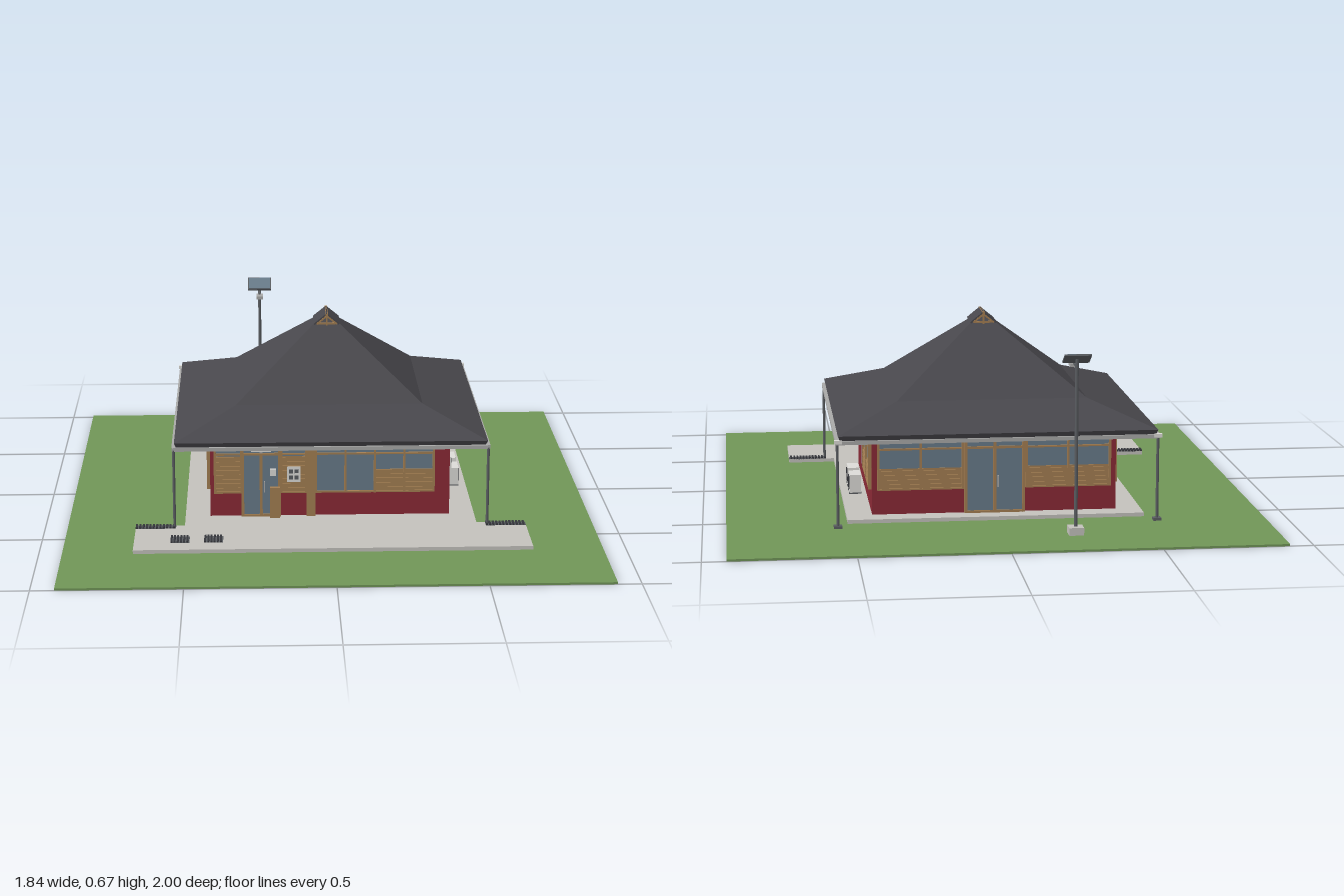
import * as THREE from 'three';

const mat = (name, color) => {
  const m = new THREE.MeshStandardMaterial({ color });
  m.name = name;
  return m;
};

export function createModel() {
  const root = new THREE.Group();
  root.name = 'pavilion';
  const grass = mat('grass green', 0x709557), paving = mat('paving grey', 0xc3c1bc);
  const roofMat = mat('roof slate', 0x48474c), red = mat('wall red', 0x8a2a36);
  const timber = mat('timber brown', 0xa37e52), glass = mat('glass blue grey', 0x687b89);
  const steel = mat('dark steel', 0x5a5d61), pale = mat('pale metal', 0xa9a9a8);
  const dark = mat('charcoal', 0x35363b), white = mat('white', 0xdcdbd7);

  // Box given by its min and max on each axis
  const box = (parent, name, m, x0, x1, y0, y1, z0, z1) => {
    const mesh = new THREE.Mesh(new THREE.BoxGeometry(x1 - x0, y1 - y0, z1 - z0), m);
    mesh.position.set((x0 + x1) / 2, (y0 + y1) / 2, (z0 + z1) / 2);
    mesh.name = name;
    parent.add(mesh);
    return mesh;
  };
  const post = (parent, name, m, x, z, y0, y1, r) => {
    const mesh = new THREE.Mesh(new THREE.CylinderGeometry(r, r, y1 - y0, 10), m);
    mesh.position.set(x, (y0 + y1) / 2, z);
    mesh.name = name;
    parent.add(mesh);
  };
  const group = (name, parent = root) => {
    const g = new THREE.Group();
    g.name = name;
    parent.add(g);
    return g;
  };

  // Ground and paving
  box(root, 'lawn', grass, -0.92, 0.92, 0, 0.007, -1, 1);
  box(root, 'frontTerrace', paving, -0.68, 0.68, 0.007, 0.02, 0.42, 0.675);
  box(root, 'houseSlab', paving, -0.51, 0.51, 0.007, 0.02, -0.57, 0.42);

  // Barred gratings
  const grating = (x0, x1, z0, z1, n) => {
    const g = group('grating'), step = (x1 - x0) / n;
    box(g, 'gratingTray', steel, x0, x1, 0.018, 0.021, z0, z1);
    for (let i = 0; i < n; i++)
      box(g, 'gratingBar', dark, x0 + i * step, x0 + (i + 0.6) * step, 0.02, 0.026, z0, z1);
  };
  grating(-0.68, -0.54, 0.42, 0.455, 12);
  grating(0.54, 0.68, 0.42, 0.455, 12);
  grating(-0.555, -0.49, 0.54, 0.605, 6);
  grating(-0.44, -0.375, 0.54, 0.605, 6);

  // Walls
  box(root, 'walls', red, -0.422, 0.422, 0.02, 0.31, -0.5, 0.32);

  // Each facade is drawn facing +z, then turned to its side
  const facade = (name, angle, x, z) => {
    const g = group(name);
    g.rotation.y = angle;
    g.position.set(x, 0, z);
    return g;
  };
  const SILL = 0.105, RAIL = 0.245, HEAD = 0.295;
  // Row of window bays; louvreTops gives each bay's louvre height (0 for none)
  const windows = (f, x0, x1, louvreTops) => {
    const w = (x1 - x0) / louvreTops.length;
    box(f, 'windowGlass', glass, x0, x1, SILL, HEAD, 0, 0.004);
    for (const y of [SILL, RAIL, HEAD - 0.005])
      box(f, 'windowRail', timber, x0, x1, y, y + 0.006, 0, 0.011);
    for (let i = 0; i <= louvreTops.length; i++)
      box(f, 'mullion', timber, x0 + i * w - 0.004, x0 + i * w + 0.004, SILL, HEAD, 0, 0.012);
    louvreTops.forEach((top, i) => {
      if (!top) return;
      const a = x0 + i * w, b = a + w;
      box(f, 'louvrePanel', timber, a, b, SILL, top, 0, 0.006);
      for (let y = SILL + 0.012; y < top; y += 0.016)
        box(f, 'louvreSlat', timber, a, b, y, y + 0.008, 0, 0.01);
    });
  };
  const door = (f, x0, x1) => {
    const mid = (x0 + x1) / 2;
    box(f, 'doorGlass', glass, x0, x1, 0.02, HEAD, 0, 0.007);
    for (const x of [x0, mid, x1])
      box(f, 'doorStile', timber, x - 0.005, x + 0.005, 0.02, HEAD, 0, 0.014);
    for (const y of [0.02, RAIL, HEAD - 0.005])
      box(f, 'doorRail', timber, x0, x1, y, y + 0.008, 0, 0.013);
    box(f, 'doorHandle', pale, mid + 0.01, mid + 0.014, 0.11, 0.15, 0.007, 0.016);
  };

  // Front: bay, entrance, sign panel, pillar, long window row
  const front = facade('frontFacade', 0, 0, 0.32);
  windows(front, -0.405, -0.312, [0.24]);
  door(front, -0.308, -0.178);
  windows(front, -0.172, -0.085, [0.24]);
  box(front, 'pillar', timber, -0.083, -0.052, 0.02, 0.298, 0, 0.016);
  windows(front, -0.05, 0.365, [0, 0, 0.185, 0.185]);
  box(front, 'noticeBoard', white, -0.152, -0.105, 0.147, 0.202, 0.01, 0.015);
  for (const x of [-0.145, -0.125])
    for (const y of [0.157, 0.18])
      box(front, 'noticeSheet', steel, x, x + 0.014, y, y + 0.014, 0.015, 0.017);
  box(front, 'entranceStand', timber, -0.212, -0.177, 0.02, 0.13, 0.012, 0.03);
  box(front, 'intercom', white, -0.212, -0.19, 0.17, 0.195, 0.008, 0.016);
  box(front, 'entranceLamp', white, -0.278, -0.208, 0.263, 0.275, 0.012, 0.03);
  box(front, 'lampBracket', pale, -0.248, -0.238, 0.255, 0.285, 0.006, 0.022);

  // Right side: window, conduits, meter
  const right = facade('airConditionerFacade', Math.PI / 2, 0.422, 0);
  windows(right, 0.13, 0.48, [0.18, 0.18]);
  for (const [x, y] of [[-0.17, 0.18], [0, 0.09], [0.115, 0.09]])
    post(right, 'conduit', pale, x, 0.004, y, 0.3, 0.003);
  box(right, 'meterBox', white, -0.188, -0.153, 0.145, 0.188, 0, 0.018);
  box(right, 'meterDial', steel, -0.177, -0.164, 0.163, 0.178, 0.018, 0.02);
  for (const x of [-0.01, 0.11]) {
    const ac = group('airConditioner', right);
    box(ac, 'casing', white, x, x + 0.08, 0.026, 0.09, 0.02, 0.06);
    box(ac, 'fanGrille', dark, x + 0.018, x + 0.064, 0.036, 0.08, 0.06, 0.063);
    for (const dx of [0.008, 0.06])
      box(ac, 'foot', steel, x + dx, x + dx + 0.012, 0.02, 0.026, 0.018, 0.062);
  }

  // Left side and back
  const left = facade('longWindowFacade', -Math.PI / 2, -0.422, 0);
  windows(left, -0.45, 0.27, [0.18, 0.18, 0.18, 0.18]);
  const back = facade('backFacade', Math.PI, 0, -0.5);
  windows(back, -0.4, -0.11, [0.18, 0.18]);
  door(back, -0.1, 0.1);
  windows(back, 0.11, 0.4, [0.18, 0.18]);

  // Hipped roof with a flatter skirt: a four-sided lathe, made faceted
  const profile = [[0, 0.306], [0.535, 0.306], [0.543, 0.325], [0.33, 0.4], [0, 0.66]]
    .map(([r, y]) => new THREE.Vector2(r * Math.SQRT2, y));
  const roofGeo = new THREE.LatheGeometry(profile, 4, Math.PI / 4).toNonIndexed();
  roofGeo.computeVertexNormals();
  const roof = new THREE.Mesh(roofGeo, roofMat);
  roof.name = 'hippedRoof';
  roof.position.z = -0.1;
  root.add(roof);

  // Gutter around the eaves
  const gutter = group('gutter');
  gutter.position.z = -0.1;
  for (const s of [-1, 1]) {
    const a = s * 0.545;
    box(gutter, 'sideGutter', pale, a - 0.007, a + 0.007, 0.296, 0.309, -0.54, 0.54);
    box(gutter, 'endGutter', pale, -0.55, 0.55, 0.296, 0.309, s * 0.537 - 0.007, s * 0.537 + 0.007);
    // Corner posts with footings
    for (const z of [0.44, -0.625]) {
      post(root, 'cornerPost', steel, s * 0.545, z, 0.007, 0.3, 0.005);
      box(root, 'postFooting', steel, s * 0.545 - 0.014, s * 0.545 + 0.014, 0.007, 0.016, z - 0.014, z + 0.014);
    }
    box(gutter, 'gutterBracket', white, s * 0.543 - 0.013, s * 0.543 + 0.013, 0.3, 0.312, -0.55, -0.535);
  }

  // Small open gable on the ridge with timber struts
  const gable = group('ridgeGable');
  gable.position.set(0, 0, -0.095);
  for (const s of [-1, 1]) {
    const slope = box(gable, 'gableSlope', roofMat, -0.03, 0.03, -0.003, 0.003, -0.06, 0.06);
    slope.position.set(s * 0.022, 0.644, 0);
    slope.rotation.z = -s * 0.68;
    const e = s * 0.055;
    box(gable, 'kingPost', timber, -0.003, 0.003, 0.62, 0.658, e - 0.003, e + 0.003);
    box(gable, 'tieBeam', timber, -0.032, 0.032, 0.624, 0.63, e - 0.004, e + 0.004);
    for (const t of [-1, 1]) {
      const strut = box(gable, 'strut', timber, -0.024, 0.024, -0.003, 0.003, -0.003, 0.003);
      strut.position.set(t * 0.018, 0.641, s * 0.059);
      strut.rotation.z = -t * 0.68;
    }
  }
  box(gable, 'ridgeBeam', timber, -0.004, 0.004, 0.655, 0.664, -0.064, 0.064);

  // Solar street light behind the house
  const lamp = group('solarLamp');
  lamp.position.set(-0.24, 0, -0.79);
  box(lamp, 'lampFooting', paving, -0.025, 0.025, 0.007, 0.033, -0.025, 0.025);
  post(lamp, 'lampPole', steel, 0, 0, 0.03, 0.6, 0.006);
  box(lamp, 'lampArm', steel, -0.004, 0.004, 0.572, 0.579, 0, 0.07);
  box(lamp, 'lampHead', pale, -0.013, 0.013, 0.563, 0.575, 0.055, 0.105);
  const panel = group('solarPanel', lamp);
  panel.position.set(0, 0.602, 0);
  panel.rotation.x = 0.52;
  box(panel, 'panelFrame', steel, -0.045, 0.045, -0.004, 0.002, -0.034, 0.034);
  box(panel, 'panelCells', glass, -0.041, 0.041, 0.002, 0.004, -0.03, 0.03);

  return root;
}
